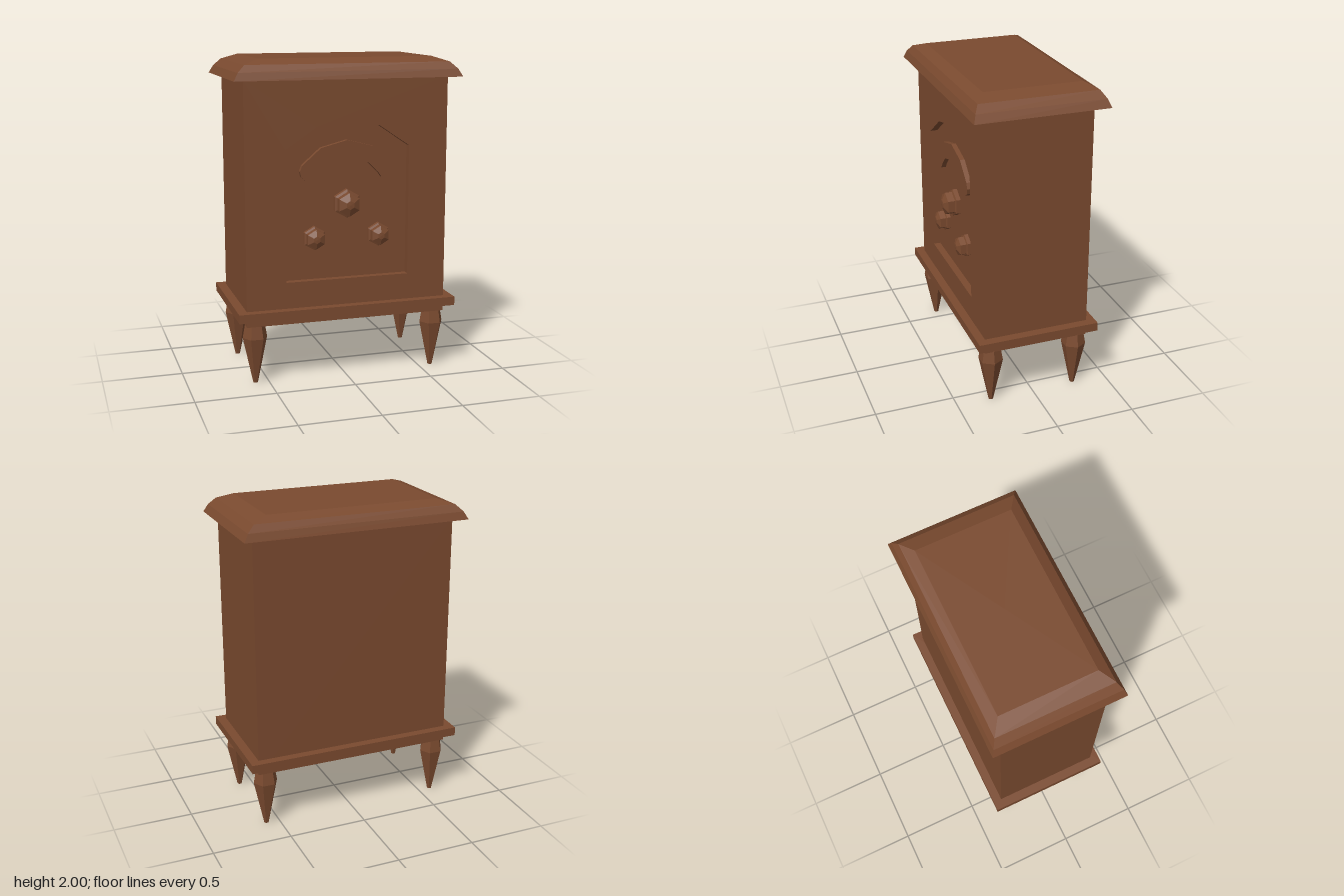
import * as THREE from 'three';

const wood = new THREE.MeshStandardMaterial({ color: 0x7a4a2f, flatShading: true });

export function createModel() {
  const model = new THREE.Group();

  const add = (name, geometry, x = 0, y = 0, z = 0) => {
    const mesh = new THREE.Mesh(geometry, wood);
    mesh.name = name;
    mesh.position.set(x, y, z);
    model.add(mesh);
    return mesh;
  };
  const toPoints = (list) => list.map(([x, y]) => new THREE.Vector2(x, y));
  const hexLathe = (profile) => new THREE.LatheGeometry(toPoints(profile), 6);
  // Closes a half outline (listed down the +x side) with its mirror image
  const mirrored = (half) => [...half, ...half.filter(([x]) => x > 0).reverse().map(([x, y]) => [-x, y])];

  // Body: solid rear block plus a front slab with an arched opening
  const W = 0.643, D = 0.335, bottom = 0.375, top = 1.88, recess = 0.29;
  add('body', new THREE.BoxGeometry(W * 2, top - bottom, D + recess),
    0, (top + bottom) / 2, (recess - D) / 2);
  const front = new THREE.Shape(toPoints([[-W, bottom], [W, bottom], [W, top], [-W, top]]));
  front.holes.push(new THREE.Path(toPoints(
    mirrored([[0, 1.635], [0.2, 1.588], [0.394, 1.458], [0.394, 0.64]]))));
  add('frontFrame', new THREE.ExtrudeGeometry(front, { depth: D - recess, bevelEnabled: false }), 0, 0, recess);

  // Raised curved dial inside the opening
  const dial = new THREE.Shape(toPoints([
    ...mirrored([[0, 1.503], [0.167, 1.46], [0.285, 1.357], [0.3, 1.32], [0.29, 1.285],
      [0.265, 1.265], [0.222, 1.265], [0.2, 1.297], [0.135, 1.36], [0, 1.398]])
      .filter(([x]) => x >= 0),
    ...[[0.135, 1.36], [0.2, 1.297], [0.222, 1.265], [0.265, 1.265], [0.29, 1.285],
      [0.3, 1.32], [0.285, 1.357], [0.167, 1.46]].map(([x, y]) => [-x, y]),
  ]));
  add('dial', new THREE.ExtrudeGeometry(dial, { depth: 0.035, bevelEnabled: false }), 0, 0, recess - 0.005);

  // Hexagonal stepped knobs
  const knob = hexLathe([[0.09, -0.005], [0.09, 0.028], [0.074, 0.034], [0.074, 0.078],
    [0.028, 0.098], [0, 0.1]]).rotateX(Math.PI / 2);
  [['centreKnob', 0, 1.11, 1], ['rightKnob', -0.207, 0.903, 0.83], ['leftKnob', 0.207, 0.903, 0.83]]
    .forEach(([name, x, y, s]) => add(name, knob, x, y, recess).scale.setScalar(s));

  // Plinth tray
  add('plinth', new THREE.BoxGeometry(1.4, 0.055, 0.776), 0, 0.4475, 0);

  // Lid lofted from rectangles: half width, height, half depth
  const rings = [[0, 1.877, 0], [0.712, 1.877, 0.412], [0.685, 1.925, 0.395],
    [0.64, 1.968, 0.367], [0.545, 2, 0.303], [0, 2, 0]];
  const corners = [[1, 1], [1, -1], [-1, -1], [-1, 1]];
  const verts = [];
  for (let i = 0; i < rings.length - 1; i++) {
    for (let k = 0; k < 4; k++) {
      const at = (r, c) => [rings[r][0] * corners[c % 4][0], rings[r][1], rings[r][2] * corners[c % 4][1]];
      const a = at(i, k), b = at(i, k + 1), c = at(i + 1, k + 1), d = at(i + 1, k);
      if (i > 0) verts.push(...a, ...b, ...c);
      if (i === 0) verts.push(...a, ...c, ...d);
      else if (i < rings.length - 2) verts.push(...a, ...c, ...d);
    }
  }
  const lid = new THREE.BufferGeometry();
  lid.setAttribute('position', new THREE.Float32BufferAttribute(verts, 3));
  lid.computeVertexNormals();
  add('lid', lid);

  // Tapered hexagonal legs
  const leg = hexLathe([[0, 0], [0.015, 0], [0.077, 0.295], [0.062, 0.38], [0, 0.38]]).rotateY(Math.PI / 6);
  for (const x of [-1, 1]) for (const z of [-1, 1]) {
    add((z > 0 ? 'front' : 'back') + (x > 0 ? 'Left' : 'Right') + 'Leg', leg, x * 0.583, 0, z * 0.278);
  }
  return model;
}
